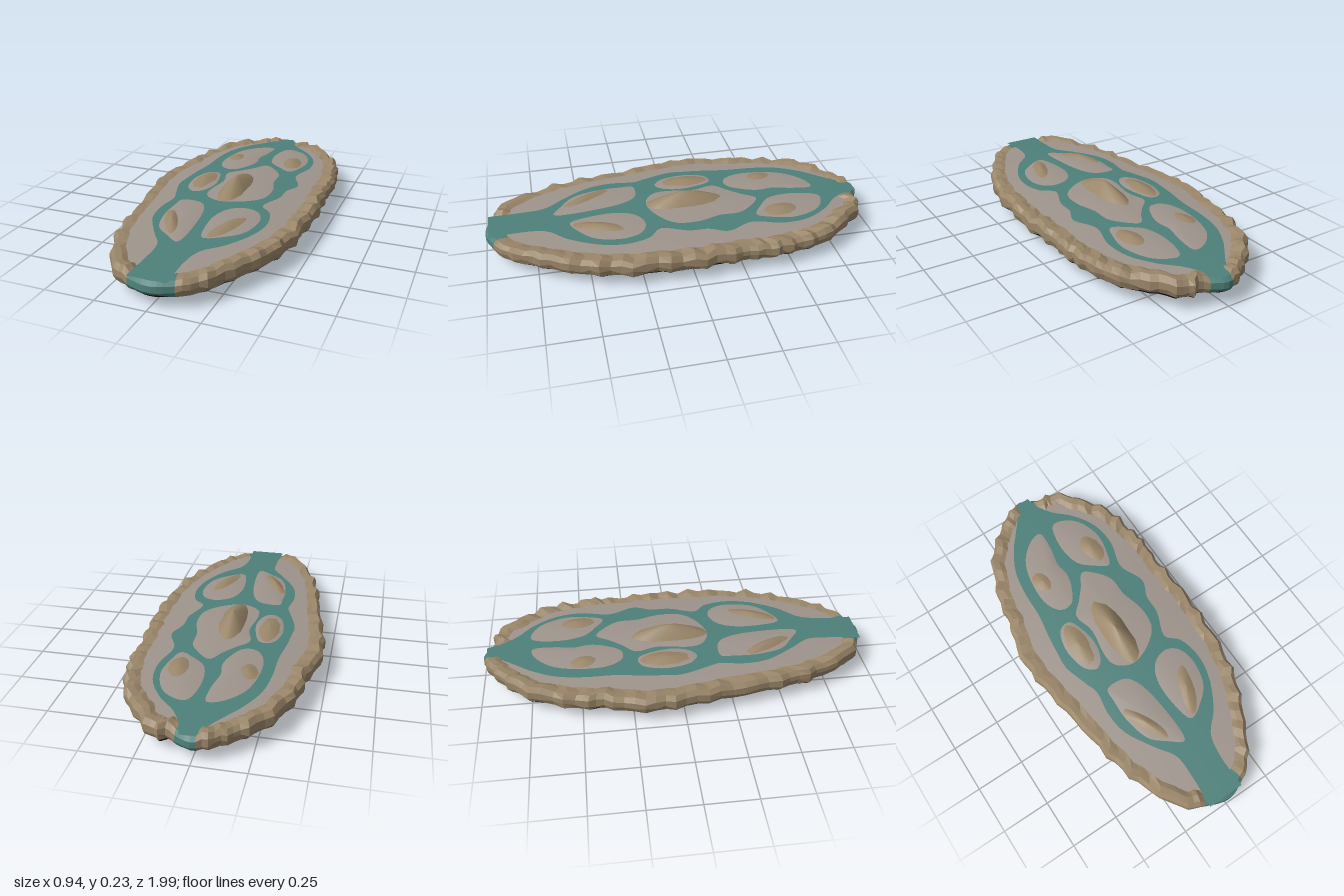
import * as THREE from 'three';

const mat = (name, color) => Object.assign(new THREE.MeshStandardMaterial({ color }), { name });

// gently domed ground height
const ground = (x, z) => 0.135 + 0.03 * Math.max(0, 1 - z * z) * Math.max(0, 1 - (x / 0.5) ** 2);

// skin neighbouring rows of points; closed rows wrap round
function loft(rows, closed, flat) {
  const n = rows[0].length, pos = rows.flat(2), idx = [];
  for (let r = 0; r < rows.length - 1; r++) {
    for (let i = 0; i < (closed ? n : n - 1); i++) {
      const j = (i + 1) % n, a = r * n + i, b = r * n + j;
      idx.push(a, b, a + n, b, b + n, a + n);
    }
  }
  let g = new THREE.BufferGeometry();
  g.setAttribute('position', new THREE.Float32BufferAttribute(pos, 3));
  g.setIndex(idx);
  if (flat) g = g.toNonIndexed();
  g.computeVertexNormals();
  return g;
}

const spline = (pts, closed, n) => {
  const c = new THREE.CatmullRomCurve3(pts.map(([x, z]) => new THREE.Vector3(x, 0, z)), closed, 'catmullrom', 0.5);
  return Array.from({ length: closed ? n : n + 1 }, (_, i) => {
    const p = c.getPoint(i / n);
    return [p.x, p.z];
  });
};

// raised patch that follows the ground and rises to its middle
function patch(outline, lift, height, power) {
  const pts = outline.map(([x, z]) => new THREE.Vector2(x, z));
  if (THREE.ShapeUtils.area(pts) > 0) pts.reverse();
  const c = pts.reduce((s, p) => s.add(p), new THREE.Vector2()).divideScalar(pts.length);
  return loft([1, 0.9, 0.75, 0.55, 0.35, 0.15, 0.001].map((s) => pts.map((p) => {
    const x = c.x + (p.x - c.x) * s, z = c.y + (p.y - c.y) * s;
    return [x, ground(x, z) + lift + height * (1 - s ** power), z];
  })), true);
}

export function createModel() {
  const group = new THREE.Group();
  const stone = mat('tan stone', 0x9a8669), bank = mat('grey bank', 0x9e948c);
  const water = mat('teal water', 0x4e807a), earth = mat('dark earth', 0x1a0808);
  const add = (name, geometry, material) => {
    const m = new THREE.Mesh(geometry, material);
    m.name = name;
    group.add(m);
  };
  let seed = 7;
  const rand = () => (seed = (seed * 16807) % 2147483647) / 2147483647 - 0.5;

  // leaf-shaped plan outline, from the front mouth round by +x
  const plan = [[0, 1], [0.09, 0.975], [0.2, 0.9], [0.3, 0.74], [0.39, 0.56], [0.445, 0.37], [0.465, 0.13],
    [0.465, -0.1], [0.45, -0.27], [0.455, -0.41], [0.44, -0.52], [0.4, -0.68], [0.3, -0.83], [0.2, -0.94],
    [0.1, -0.955], [0, -1], [-0.1, -0.96], [-0.2, -0.89], [-0.32, -0.76], [-0.405, -0.54], [-0.425, -0.4],
    [-0.475, -0.2], [-0.465, 0], [-0.42, 0.24], [-0.385, 0.49], [-0.33, 0.69], [-0.22, 0.9], [-0.11, 0.965]];
  const N = 112;
  const edge = spline(plan, true, N);
  const isMouth = ([x, z]) => (z > 0.9 && Math.abs(x) < 0.12) || (z < -0.9 && x > -0.03 && x < 0.1);
  const rough = edge.map((p, i) => (isMouth(p) ? 0 : 0.009 * Math.cos(i * Math.PI / 1.5) + 0.012 * rand()));
  const bump = edge.map(() => 0.022 * rand());
  // ring d inside the outline
  const ring = (d, yAt, wild = 1) => edge.map(([x, z], i) => {
    const e = Math.max(d - rough[i] * wild, 0);
    const px = x * (1 - e / 0.47), pz = z * (1 - e);
    return [px, yAt(px, pz, i), pz];
  });

  // rocky rim, broken by the two river mouths
  const mouths = edge.map(isMouth);
  const top = (y) => (x, z, i) => (mouths[i] ? ground(x, z) : y + bump[i]);
  const rimRows = [
    ring(0.018, (x, z, i) => 0.07 + bump[i] * 0.5),
    ring(0.006, (x, z, i) => (mouths[i] ? 0.09 : 0.095 + bump[(i + 5) % N])),
    ring(0.008, (x, z, i) => (mouths[i] ? 0.12 : 0.128 + bump[i] * 0.6)),
    ring(0.028, top(0.15)),
    ring(0.06, top(0.148)),
    ring(0.105, (x, z) => ground(x, z) - 0.008),
  ];
  const runs = [];
  for (let i = 0, start = mouths.indexOf(false); i < N; i++) {
    const k = (start + i) % N, next = (k + 1) % N, wet = mouths[k] && mouths[next];
    const last = runs[runs.length - 1];
    if (last && last.wet === wet) last.ids.push(next);
    else runs.push({ wet, ids: [k, next] });
  }
  runs.forEach(({ wet, ids }) => add(wet ? 'riverMouth' : 'rockyRim',
    loft(rimRows.map((r) => ids.map((k) => r[k])), false, true), wet ? water : stone));

  // dark underside with a bumpy keel
  const belly = (x, z) => 0.058 - 0.056 * Math.exp(-((x / 0.13) ** 2)) * (1 - z ** 6)
    * (0.85 + 0.15 * Math.cos(z * 11.4));
  const under = [0.001, 0.1, 0.25, 0.4, 0.55, 0.7, 0.82, 0.92].map((s) => edge.map(([x, z]) =>
    [x * s, Math.max(0, belly(x * s, z * s)), z * s]));
  under.push(ring(0.035, () => 0.058), rimRows[0]);
  add('underside', loft(under, true), earth);

  // grey ground inside the rim
  const floor = [0.085];
  const floorRows = floor.map((d) => ring(d, ground, 0.5));
  for (const s of [0.85, 0.7, 0.55, 0.4, 0.25, 0.1, 0.001]) {
    floorRows.push(floorRows[0].map(([x, , z]) => [x * s, ground(x * s, z * s), z * s]));
  }
  add('groundBank', loft(floorRows, true), bank);

  // river sheet: z, left shore, right shore
  const shores = [[0.975, -0.1, 0.09], [0.82, -0.09, 0.085], [0.69, -0.095, 0.11], [0.59, -0.16, 0.2],
    [0.45, -0.24, 0.275], [0.32, -0.26, 0.3], [0.2, -0.245, 0.275], [0.13, -0.265, 0.215], [0, -0.305, 0.26],
    [-0.1, -0.3, 0.265], [-0.2, -0.29, 0.3], [-0.33, -0.27, 0.25], [-0.48, -0.265, 0.285],
    [-0.62, -0.24, 0.27], [-0.74, -0.18, 0.2], [-0.82, -0.12, 0.12], [-0.9, -0.06, 0.07], [-0.975, -0.02, 0.05]];
  const left = spline(shores.map(([z, l]) => [l, z]), false, 80);
  const right = spline(shores.map(([z, , r]) => [r, z]), false, 80);
  add('river', loft(left.map(([xl, zl], i) => Array.from({ length: 17 }, (_, k) => {
    const x = THREE.MathUtils.lerp(xl, right[i][0], k / 16);
    const z = THREE.MathUtils.lerp(zl, right[i][1], k / 16);
    return [x, ground(x, z) + 0.004, z];
  })), false), water);

  // grey islands between the channels
  const islands = [
    [[-0.01, -0.74], [-0.09, -0.72], [-0.17, -0.63], [-0.205, -0.5], [-0.205, -0.37], [-0.16, -0.29],
      [-0.09, -0.29], [-0.04, -0.37], [-0.02, -0.45], [-0.03, -0.53], [-0.01, -0.63]],
    [[0.07, -0.74], [0.14, -0.74], [0.21, -0.68], [0.25, -0.56], [0.235, -0.45], [0.2, -0.37],
      [0.13, -0.41], [0.06, -0.48], [0.04, -0.61]],
    [[-0.18, -0.21], [-0.14, -0.18], [-0.11, -0.05], [-0.13, 0.05], [-0.18, 0.09], [-0.235, 0.04],
      [-0.255, -0.08], [-0.23, -0.18]],
    [[0.05, -0.41], [0.11, -0.37], [0.165, -0.29], [0.17, -0.18], [0.2, -0.07], [0.19, 0.05], [0.11, 0.13],
      [0, 0.17], [-0.085, 0.13], [-0.105, 0.05], [-0.085, -0.1], [-0.11, -0.21], [-0.05, -0.28], [0, -0.34]],
    [[-0.19, 0.21], [-0.1, 0.21], [-0.05, 0.26], [-0.02, 0.37], [-0.005, 0.56], [-0.02, 0.645],
      [-0.09, 0.6], [-0.165, 0.53], [-0.2, 0.4], [-0.2, 0.28]],
    [[0.08, 0.24], [0.16, 0.2], [0.23, 0.23], [0.26, 0.32], [0.235, 0.45], [0.16, 0.53], [0.075, 0.57],
      [0.045, 0.48], [0.04, 0.34]],
  ];
  islands.forEach((pts) => add('island', patch(spline(pts, true, 48), 0.007, 0.007, 2), bank));

  // boulders: centre, half-axis, half-width, height
  const boulders = [[-0.15, -0.48, 0.01, 0.075, 0.05, 0.014], [0.175, -0.51, 0.015, 0.1, 0.055, 0.018],
    [-0.185, -0.07, 0, 0.13, 0.055, 0.018], [0.012, -0.03, 0, 0.205, 0.07, 0.062],
    [-0.13, 0.465, 0.06, 0.125, 0.035, 0.02], [0.145, 0.425, -0.05, 0.135, 0.045, 0.018]];
  boulders.forEach(([cx, cz, ax, az, w, h]) => {
    const len = Math.hypot(ax, az), pts = [];
    for (let i = 0; i < 18; i++) {
      const t = i / 18 * Math.PI * 2, a = Math.cos(t) * (1 + rand() * 0.1), b = Math.sin(t) * w * (1 + rand() * 0.15);
      pts.push([cx + ax * a + az / len * b, cz + az * a - ax / len * b]);
    }
    add('boulder', patch(pts, 0.008, h, 1.4), stone);
  });
  return group;
}
